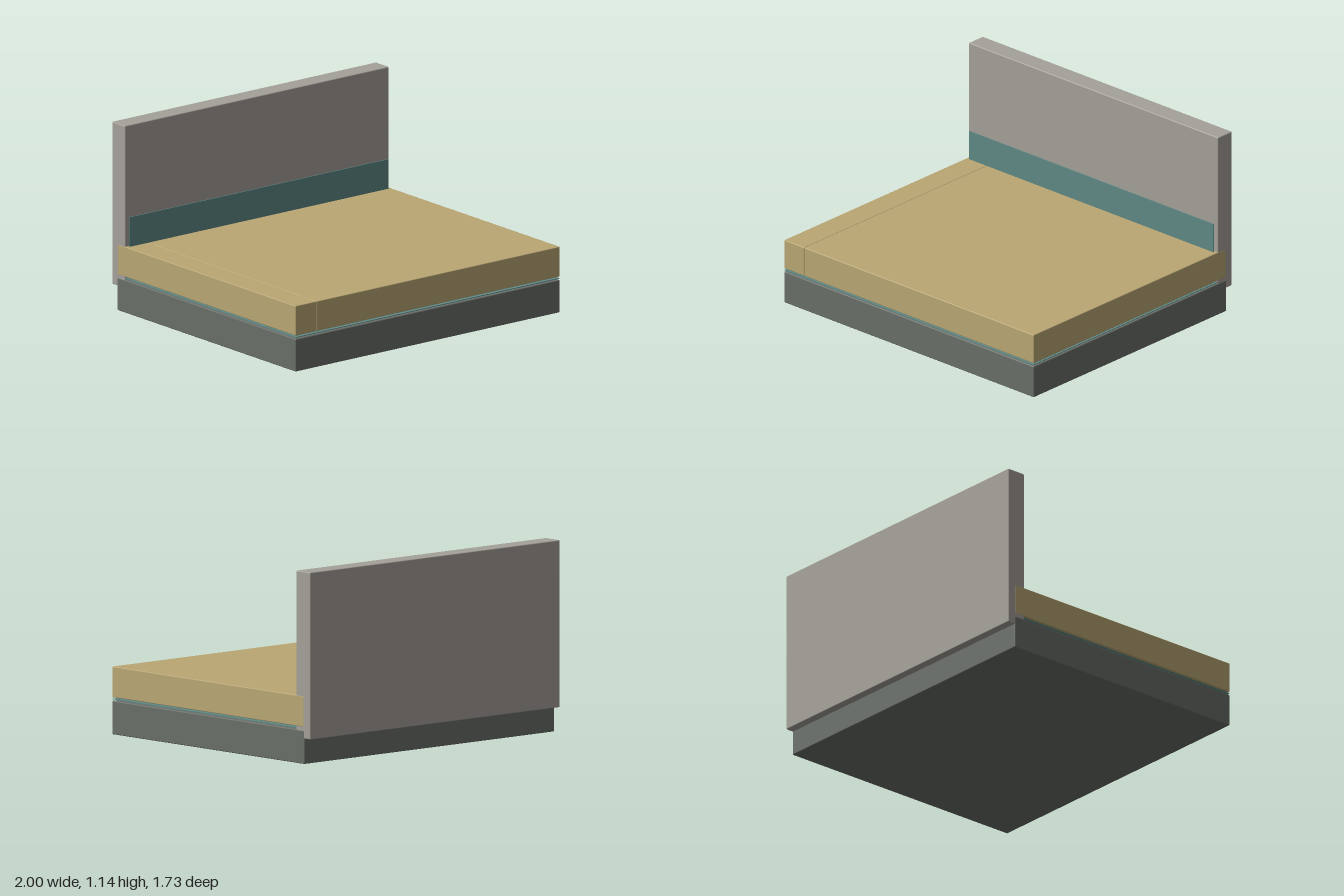
import * as THREE from 'three';
import { RoundedBoxGeometry } from 'three/addons/geometries/RoundedBoxGeometry.js';

const paint = (name, color) => {
  const m = new THREE.MeshStandardMaterial({ color });
  m.name = name;
  return m;
};

export function createModel() {
  const group = new THREE.Group();
  group.name = 'bed';
  const stone = paint('warm grey', 0xa5a19a);
  const tan = paint('tan', 0xbaa774);
  const dark = paint('dark grey green', 0x6a6f69);
  const teal = paint('teal', 0x5f8985);

  // Block given by its limits along x, y and z, with softened edges if radius > 0
  const block = (name, material, [x0, x1], [y0, y1], [z0, z1], radius = 0) => {
    const size = [x1 - x0, y1 - y0, z1 - z0];
    const geometry = radius
      ? new RoundedBoxGeometry(...size, 2, radius)
      : new THREE.BoxGeometry(...size);
    const mesh = new THREE.Mesh(geometry, material);
    mesh.name = name;
    mesh.position.set((x0 + x1) / 2, (y0 + y1) / 2, (z0 + z1) / 2);
    group.add(mesh);
  };

  // Base and the thin sheet lying in the gap above it
  block('base', dark, [-1, 1], [0, 0.2], [-0.813, 0.863], 0.006);
  block('gapSheet', teal, [-0.998, 0.998], [0.208, 0.212], [-0.813, 0.863]);

  // Mattress: narrow side strip and main pad
  block('mattressStrip', tan, [-1, -0.84], [0.22, 0.404], [-0.808, 0.863], 0.005);
  block('mattressPad', tan, [-0.84, 1], [0.22, 0.404], [-0.808, 0.863], 0.005);

  // Upright headboard with a thin band standing in front of it
  block('headboard', stone, [-0.999, 0.999], [0.15, 1.145], [-0.863, -0.74], 0.006);
  block('headboardBand', teal, [-0.978, 0.978], [0.39, 0.585], [-0.728, -0.722]);

  return group;
}
